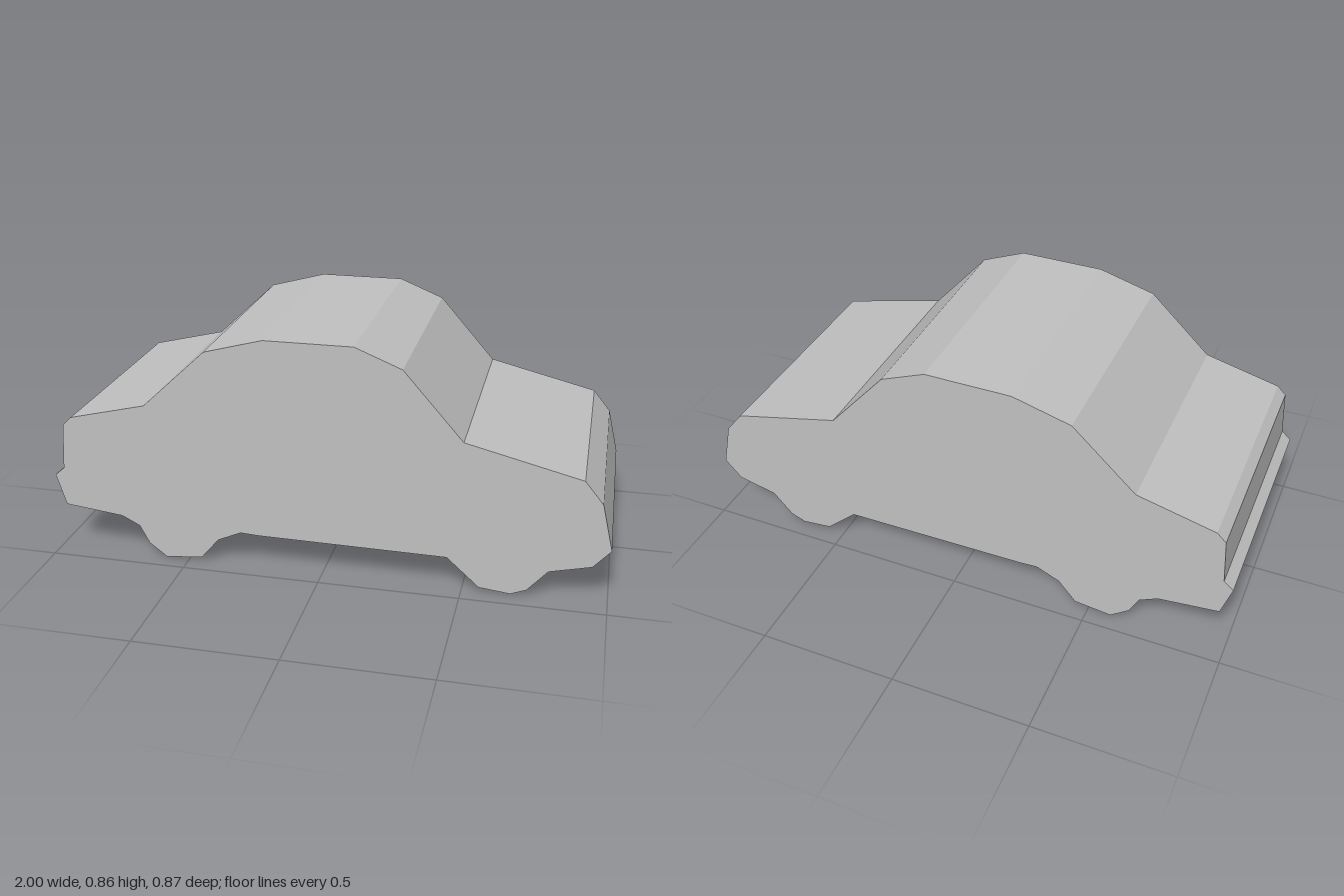
import * as THREE from 'three';

// Side outline of the car, clockwise from the rear bumper
const OUTLINE = [
  // tail and boot
  [-1, 0.29], [-0.965, 0.32], [-0.953, 0.49], [-0.92, 0.522], [-0.64, 0.59],
  // cabin roof
  [-0.41, 0.805], [-0.2, 0.862], [0.115, 0.862], [0.28, 0.795], [0.49, 0.555],
  // bonnet and nose
  [0.895, 0.455], [0.96, 0.375], [1, 0.207], [0.94, 0.14], [0.795, 0.105],
  // front wheel bulge
  [0.725, 0.025], [0.67, 0.003], [0.56, 0.015], [0.445, 0.119],
  // underside
  [-0.23, 0.126], [-0.3, 0.13],
  // rear wheel bulge
  [-0.385, 0.092], [-0.45, 0.015], [-0.585, 0], [-0.65, 0.05], [-0.685, 0.117],
  [-0.75, 0.15], [-0.965, 0.175],
];
const WIDTH = 0.872;

export function createModel() {
  const group = new THREE.Group();
  group.name = 'carSilhouette';

  const grey = new THREE.MeshStandardMaterial({ color: 0xc0c0c0 });
  grey.name = 'light grey';

  // One solid slab, centred across its width
  const shape = new THREE.Shape(OUTLINE.map(([x, y]) => new THREE.Vector2(x, y)));
  const geometry = new THREE.ExtrudeGeometry(shape, { depth: WIDTH, bevelEnabled: false });
  geometry.translate(0, 0, -WIDTH / 2);

  const body = new THREE.Mesh(geometry, grey);
  body.name = 'carBody';
  group.add(body);
  return group;
}
